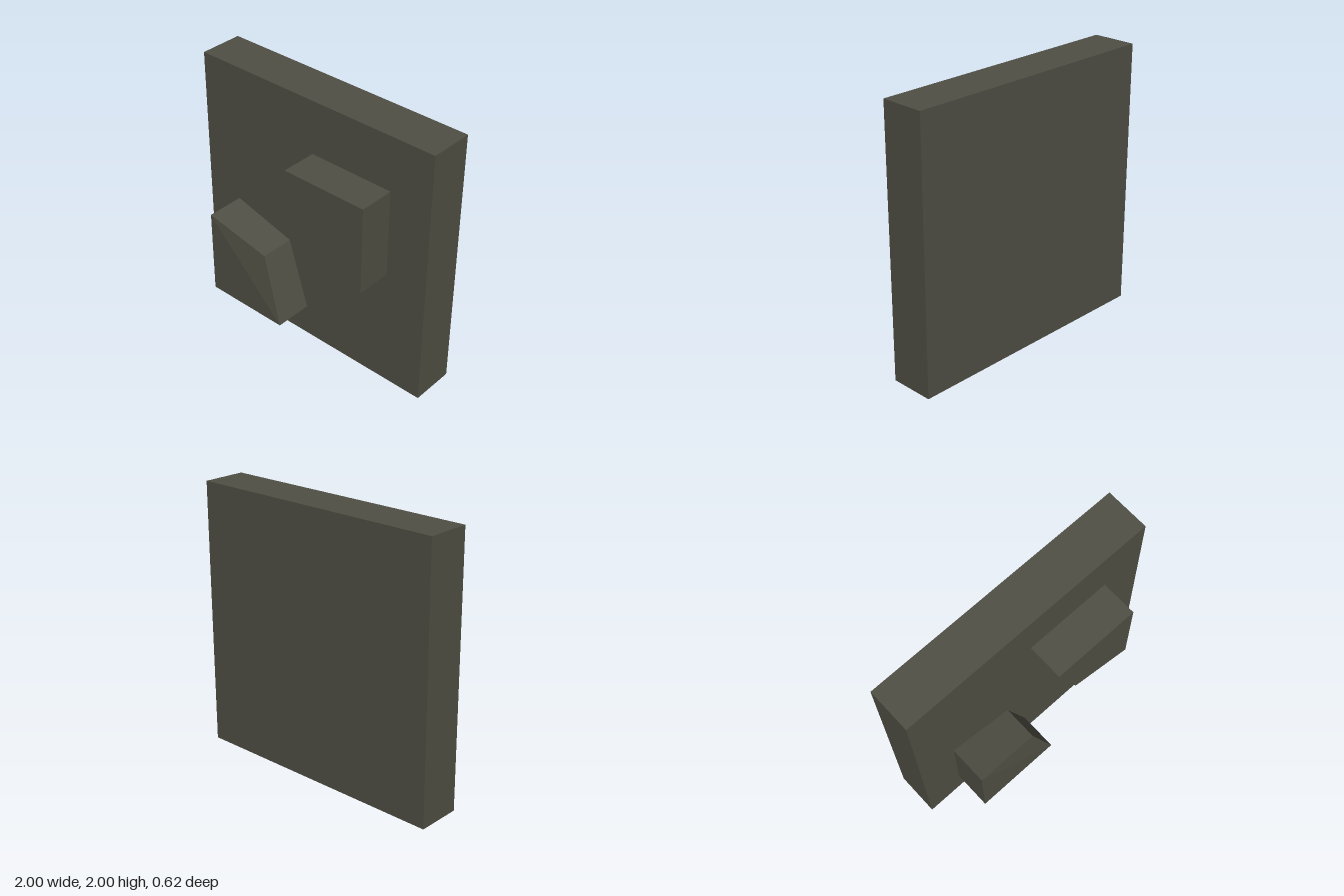
import * as THREE from 'three';

const BACK = -0.31, FACE = 0.02;

// Four-sided block standing out from the slab; corners run counter-clockwise as [x, y, frontZ].
function makeBlock(name, corners, material) {
  const back = corners.map(([x, y]) => [x, y, FACE]);
  const pos = [];
  const quad = (a, b, c, d) => pos.push(...a, ...b, ...c, ...a, ...c, ...d);
  quad(...corners);
  quad(...back.slice().reverse());
  for (let i = 0; i < 4; i++) {
    const j = (i + 1) % 4;
    quad(back[i], back[j], corners[j], corners[i]);
  }
  const geo = new THREE.BufferGeometry();
  geo.setAttribute('position', new THREE.Float32BufferAttribute(pos, 3));
  geo.computeVertexNormals();
  const mesh = new THREE.Mesh(geo, material);
  mesh.name = name;
  return mesh;
}

export function createModel() {
  const group = new THREE.Group();
  group.name = 'wallPanel';
  const stone = new THREE.MeshStandardMaterial({ color: 0x504f44 });
  stone.name = 'dark olive grey';

  // Square slab
  const slab = new THREE.Mesh(new THREE.BoxGeometry(2, 2, FACE - BACK), stone);
  slab.name = 'slab';
  slab.position.set(0, 1, (FACE + BACK) / 2);
  group.add(slab);

  // Lower block, its inner corner slightly sunk
  group.add(makeBlock('lowerBlock', [
    [-0.71, 0.91, 0.31], [-0.71, 0.25, 0.31], [-0.045, 0.25, 0.31], [-0.21, 0.775, 0.28],
  ], stone));

  // Upper block with a flat front
  group.add(makeBlock('upperBlock', [
    [0.01, 1.595, 0.29], [0.18, 1.105, 0.29], [0.675, 0.93, 0.29], [0.675, 1.595, 0.29],
  ], stone));

  return group;
}
